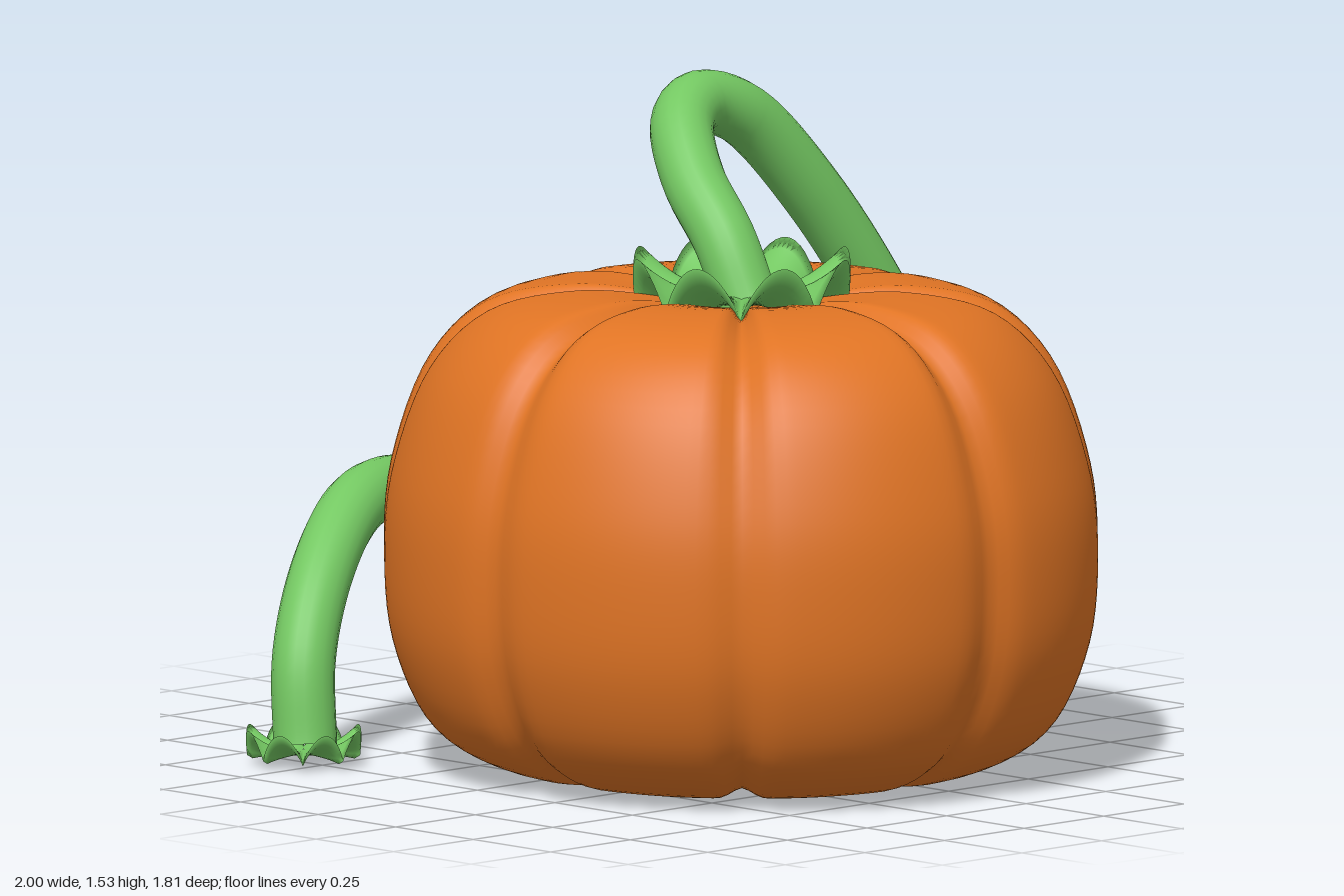
import * as THREE from 'three';

const orange = new THREE.MeshStandardMaterial({ color: 0xe07424 });
orange.name = 'pumpkin orange';
const green = new THREE.MeshStandardMaterial({ color: 0x74c862 });
green.name = 'vine green';

// Closed surface around the y axis; point(row, angle) returns [radius, height], rows run bottom to top
function polarSurface(rows, cols, point) {
  const pos = [], idx = [];
  for (let i = 0; i <= rows; i++) {
    for (let j = 0; j < cols; j++) {
      const a = (j / cols) * Math.PI * 2;
      const [r, y] = point(i / rows, a);
      pos.push(r * Math.cos(a), y, r * Math.sin(a));
      if (i === rows) continue;
      const k = (j + 1) % cols, p = i * cols;
      idx.push(p + j, p + cols + j, p + k, p + cols + j, p + cols + k, p + k);
    }
  }
  const geo = new THREE.BufferGeometry();
  geo.setAttribute('position', new THREE.Float32BufferAttribute(pos, 3));
  geo.setIndex(idx);
  geo.computeVertexNormals();
  return geo;
}

// 0 at each of the eight grooves, 1 in the middle of a lobe
function lobe(a) {
  const t = (a / (Math.PI / 4)) % 1;
  return 1 - Math.abs(2 * t - 1);
}

function makePumpkin() {
  const profile = new THREE.SplineCurve([
    [0.002, 0.05], [0.2, 0.025], [0.38, 0.006], [0.565, 0.028], [0.715, 0.12], [0.8, 0.3],
    [0.822, 0.5], [0.803, 0.7], [0.722, 0.92], [0.585, 1.055], [0.39, 1.098], [0.2, 1.085], [0.002, 1.04],
  ].map(p => new THREE.Vector2(...p)));
  const mid = 0.53;
  const geo = polarSurface(64, 192, (t, a) => {
    const p = profile.getPoint(t), l = lobe(a);
    // grooves pull the skin inwards: shallow at the sides, deeper on top, fading out underneath
    const v = (p.y - mid) / 0.57;
    const fade = v < 0 ? THREE.MathUtils.smoothstep(p.x, 0.1, 0.45) : 1;
    const depth = (0.022 + (v > 0 ? 0.03 : 0.015) * v * v) * fade;
    const f = 1.012 - depth * Math.exp(-((l / 0.17) ** 2)) - 0.018 * (1 - l) ** 2;
    return [p.x * f, mid + (p.y - mid) * Math.min(f, 1)];
  });
  const mesh = new THREE.Mesh(geo, orange);
  mesh.name = 'pumpkin';
  mesh.scale.set(1, 1, 0.965);
  mesh.position.set(0.18, 0, 0.0975);
  return mesh;
}

// Fluted leafy cup with eight upturned petals on a round rim
function makeCalyx(name, x, y, z, scale) {
  const geo = polarSurface(20, 128, (t, a) => {
    const under = t < 0.5;
    const s = Math.max(0.01, under ? t * 2 : 2 - t * 2);
    const l = Math.sin(lobe(a) * Math.PI / 2) ** 0.8;
    const r = s * (0.24 + 0.012 * l);
    const h = (-0.025 + 0.118 * l) * s ** 2.5;
    return [r, h - (under ? 0.02 : 0)];
  });
  const mesh = new THREE.Mesh(geo, green);
  mesh.name = name;
  mesh.position.set(x, y, z);
  mesh.scale.setScalar(scale);
  return mesh;
}

// Vine rising from the top, falling behind and curling round to the front
function makeVine() {
  const path = new THREE.CatmullRomCurve3([
    [0.2, 1.05, 0.09], [0.12, 1.2, 0.09], [0, 1.32, 0.07], [-0.11, 1.43, 0],
    [-0.155, 1.463, -0.1], [-0.15, 1.42, -0.23], [-0.115, 1.22, -0.42], [-0.075, 0.95, -0.6],
    [-0.05, 0.67, -0.75], [-0.09, 0.43, -0.825], [-0.2, 0.25, -0.83], [-0.38, 0.145, -0.785],
    [-0.6, 0.1, -0.705], [-0.78, 0.088, -0.63], [-0.88, 0.14, -0.53], [-0.925, 0.26, -0.36],
    [-0.925, 0.38, -0.2], [-0.88, 0.48, 0], [-0.8, 0.55, 0.23], [-0.71, 0.535, 0.45],
    [-0.62, 0.41, 0.64], [-0.56, 0.24, 0.75], [-0.53, 0.05, 0.775],
  ].map(p => new THREE.Vector3(...p)));
  const mesh = new THREE.Mesh(new THREE.TubeGeometry(path, 160, 0.072, 20), green);
  mesh.name = 'vine';
  return mesh;
}

export function createModel() {
  const group = new THREE.Group();
  group.name = 'pumpkinWithVine';
  group.add(
    makePumpkin(),
    makeVine(),
    makeCalyx('stemCalyx', 0.18, 1.085, 0.095, 1),
    makeCalyx('vineEndCalyx', -0.54, 0.04, 0.77, 0.53),
  );
  return group;
}
